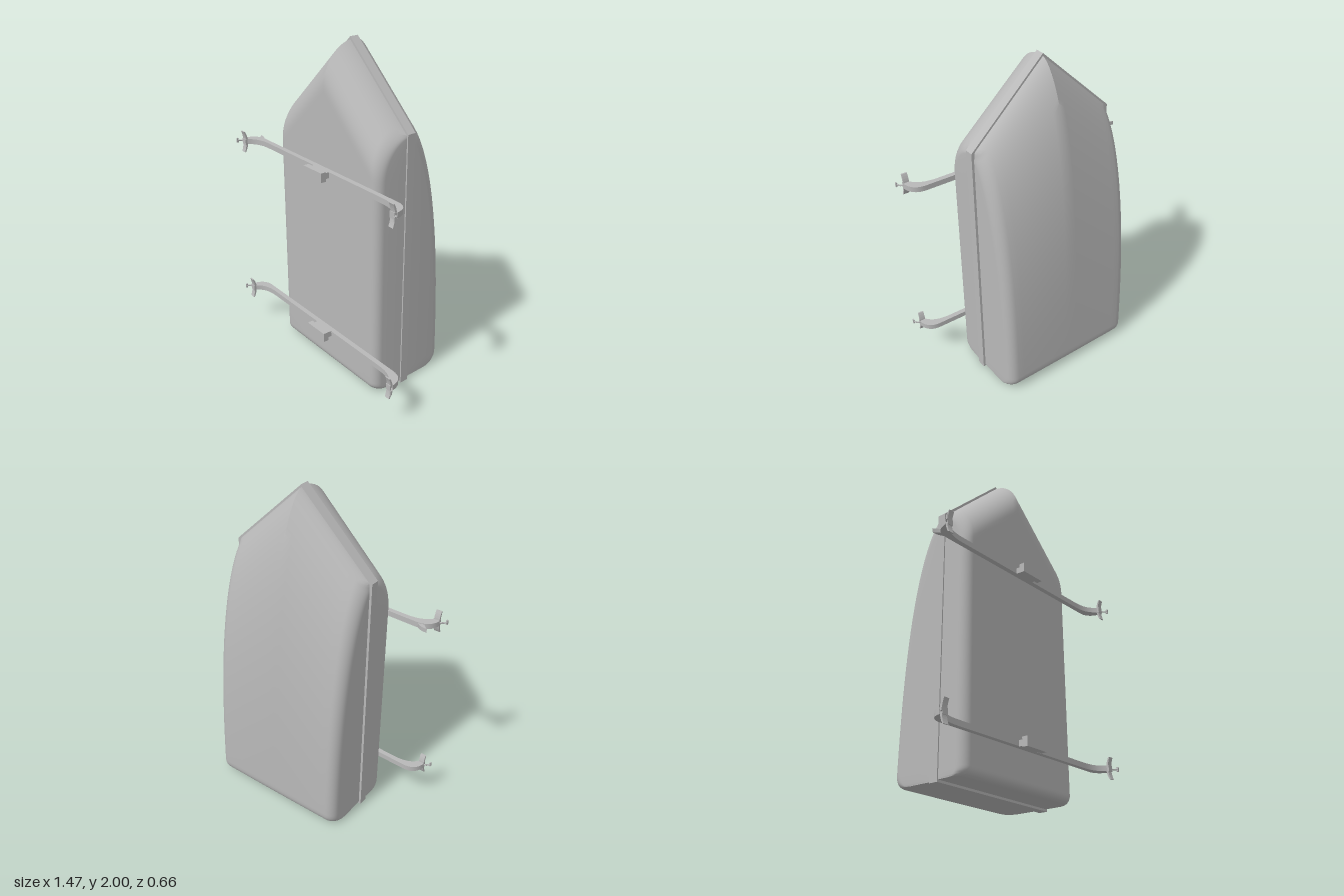
import * as THREE from 'three';
import { toCreasedNormals } from 'three/addons/utils/BufferGeometryUtils.js';

const SLOPE = 0.946; // fall of the pointed end per unit of x

const grey = new THREE.MeshStandardMaterial({ color: 0xb8b8b8, side: THREE.DoubleSide });
grey.name = 'grey plastic';

function add(parent, name, geometry, x = 0, y = 0, z = 0) {
  const mesh = new THREE.Mesh(geometry, grey);
  mesh.name = name;
  mesh.position.set(x, y, z);
  parent.add(mesh);
  return mesh;
}

// Moulded half shell, bulging to +z. depthAt gives the depth below the chevron line h.
function shell({ w, bottom, apex, sideR, bottomR, depthAt }) {
  const rows = [{ t: 0, flat: true }];
  const tFillet = bottomR / (apex - bottom) * 1.4;
  for (let i = 0; i <= 8; i++) rows.push({ t: tFillet * (i / 8) ** 2 });
  for (let i = 1; i <= 44; i++) {
    const s = i / 44;
    rows.push({ t: tFillet + (1 - tFillet) * (1 - (1 - s) ** 2) });
  }
  const ARC = 8, FLAT = 10;
  const positions = [], index = [];
  let cols = 0;
  for (const { t, flat } of rows) {
    const yAt = x => THREE.MathUtils.lerp(bottom, apex - SLOPE * Math.abs(x), t);
    const depth = x => {
      if (flat) return 0;
      const y = yAt(x);
      const k = Math.max(0, bottomR - (y - bottom));
      const cut = bottomR - Math.sqrt(Math.max(0, bottomR ** 2 - k * k));
      return Math.max(0, depthAt(Math.min(apex, y + SLOPE * Math.abs(x))) - cut);
    };
    const r = Math.min(sideR, depth(w));
    // half section: side wall, rounded edge, flat panel to the centre line
    const half = [[w, 0]];
    for (let i = 0; i <= ARC; i++) {
      const a = i / ARC * Math.PI / 2;
      const x = w - r + r * Math.cos(a);
      half.push([x, Math.max(0, depth(x) - r + r * Math.sin(a))]);
    }
    for (let i = 1; i <= FLAT; i++) {
      const x = (w - r) * (1 - i / FLAT);
      half.push([x, depth(x)]);
    }
    const full = half.map(([x, z]) => [-x, z]).concat(half.slice(0, -1).reverse());
    cols = full.length;
    for (const [x, z] of full) positions.push(x, yAt(x), z);
  }
  for (let i = 0; i < rows.length - 1; i++) {
    for (let j = 0; j < cols - 1; j++) {
      const a = i * cols + j, b = a + 1, c = a + cols, d = c + 1;
      index.push(a, b, d, a, d, c);
    }
  }
  const g = new THREE.BufferGeometry();
  g.setAttribute('position', new THREE.Float32BufferAttribute(positions, 3));
  g.setIndex(index);
  return toCreasedNormals(g, 0.6);
}

// Five-sided rim plate
function rimGeometry(w, bottom, apex, depth) {
  const shoulder = apex - SLOPE * w;
  const s = new THREE.Shape([[-w, bottom], [w, bottom], [w, shoulder], [0, apex], [-w, shoulder]]
    .map(p => new THREE.Vector2(...p)));
  return new THREE.ExtrudeGeometry(s, { depth, bevelEnabled: false });
}

// Extrude a shape drawn in x and z, centred on y
function extrudeXZ(shape, height) {
  return new THREE.ExtrudeGeometry(shape, { depth: height, bevelEnabled: false, curveSegments: 10 })
    .translate(0, 0, -height / 2).rotateX(Math.PI / 2);
}

function crossbar(y, withLever) {
  const bar = new THREE.Group();
  bar.name = 'crossbar';
  bar.position.y = y;

  const s = new THREE.Shape();
  s.moveTo(-0.61, 0.2);
  s.lineTo(0.61, 0.2);
  s.bezierCurveTo(0.67, 0.2, 0.7, 0.235, 0.705, 0.285);
  s.lineTo(0.67, 0.292);
  s.bezierCurveTo(0.64, 0.245, 0.59, 0.23, 0.52, 0.23);
  s.lineTo(-0.52, 0.23);
  s.bezierCurveTo(-0.59, 0.23, -0.64, 0.245, -0.67, 0.292);
  s.lineTo(-0.705, 0.285);
  s.bezierCurveTo(-0.7, 0.235, -0.67, 0.2, -0.61, 0.2);
  add(bar, 'barBeam', toCreasedNormals(extrudeXZ(s, 0.032), 0.5));

  // centre clamp
  add(bar, 'clampNeck', new THREE.BoxGeometry(0.14, 0.035, 0.028), 0.01, 0, 0.243);
  add(bar, 'clampBlock', new THREE.BoxGeometry(0.162, 0.056, 0.034), 0.01, 0, 0.277);

  // feet and gutter hooks
  for (const side of [-1, 1]) {
    add(bar, 'footPad', new THREE.BoxGeometry(0.035, 0.035, 0.016), side * 0.686, 0, 0.296);
    const wing = new THREE.Shape();
    wing.moveTo(-0.065, 0.312);
    wing.quadraticCurveTo(0, 0.285, 0.065, 0.312);
    wing.lineTo(0.065, 0.304);
    wing.quadraticCurveTo(0, 0.268, -0.065, 0.304);
    const plate = add(bar, 'footPlate', extrudeXZ(wing, 0.034), side * 0.686, 0, 0);
    plate.rotation.z = Math.PI / 2;
    const path = new THREE.QuadraticBezierCurve3(
      new THREE.Vector3(side * 0.695, 0, 0.292),
      new THREE.Vector3(side * 0.725, 0, 0.3),
      new THREE.Vector3(side * 0.731, 0, 0.328));
    add(bar, 'hook', new THREE.TubeGeometry(path, 10, 0.005, 6));
    add(bar, 'hookTip', new THREE.BoxGeometry(0.008, 0.028, 0.012), side * 0.731, 0, 0.324);
  }

  // release lever
  if (withLever) {
    const l = new THREE.Shape();
    l.moveTo(-0.692, 0.178);
    l.quadraticCurveTo(-0.64, 0.175, -0.618, 0.205);
    l.lineTo(-0.618, 0.23);
    l.lineTo(-0.645, 0.225);
    l.quadraticCurveTo(-0.662, 0.198, -0.692, 0.178);
    add(bar, 'releaseLever', extrudeXZ(l, 0.024));
  }
  return bar;
}

export function createModel() {
  const model = new THREE.Group();
  model.name = 'roofBox';

  // Base tray with a rounded pointed end
  add(model, 'baseShell', shell({
    w: 0.452, bottom: 0.018, apex: 1.985, sideR: 0.055, bottomR: 0.045,
    depthAt: h => 0.21 * Math.sqrt(Math.max(0, 1 - (Math.max(0, h - 1.745) / 0.24) ** 2)),
  }), 0, 0, -0.01);

  // Lid and rim, slightly ajar
  const lid = new THREE.Group();
  lid.name = 'lid';
  lid.rotation.y = 0.033;
  model.add(lid);
  add(lid, 'rim', rimGeometry(0.46, 0.005, 2, 0.053), 0, 0, -0.036);
  add(lid, 'lidShell', shell({
    w: 0.446, bottom: 0.015, apex: 1.988, sideR: 0.06, bottomR: 0.07,
    depthAt: h => 0.3 * Math.max(0, 1 - (h / 1.988) ** 3) ** 0.55,
  }), 0, 0, -0.02).rotation.y = Math.PI;

  model.add(crossbar(1.28, true), crossbar(0.25, false));
  return model;
}
